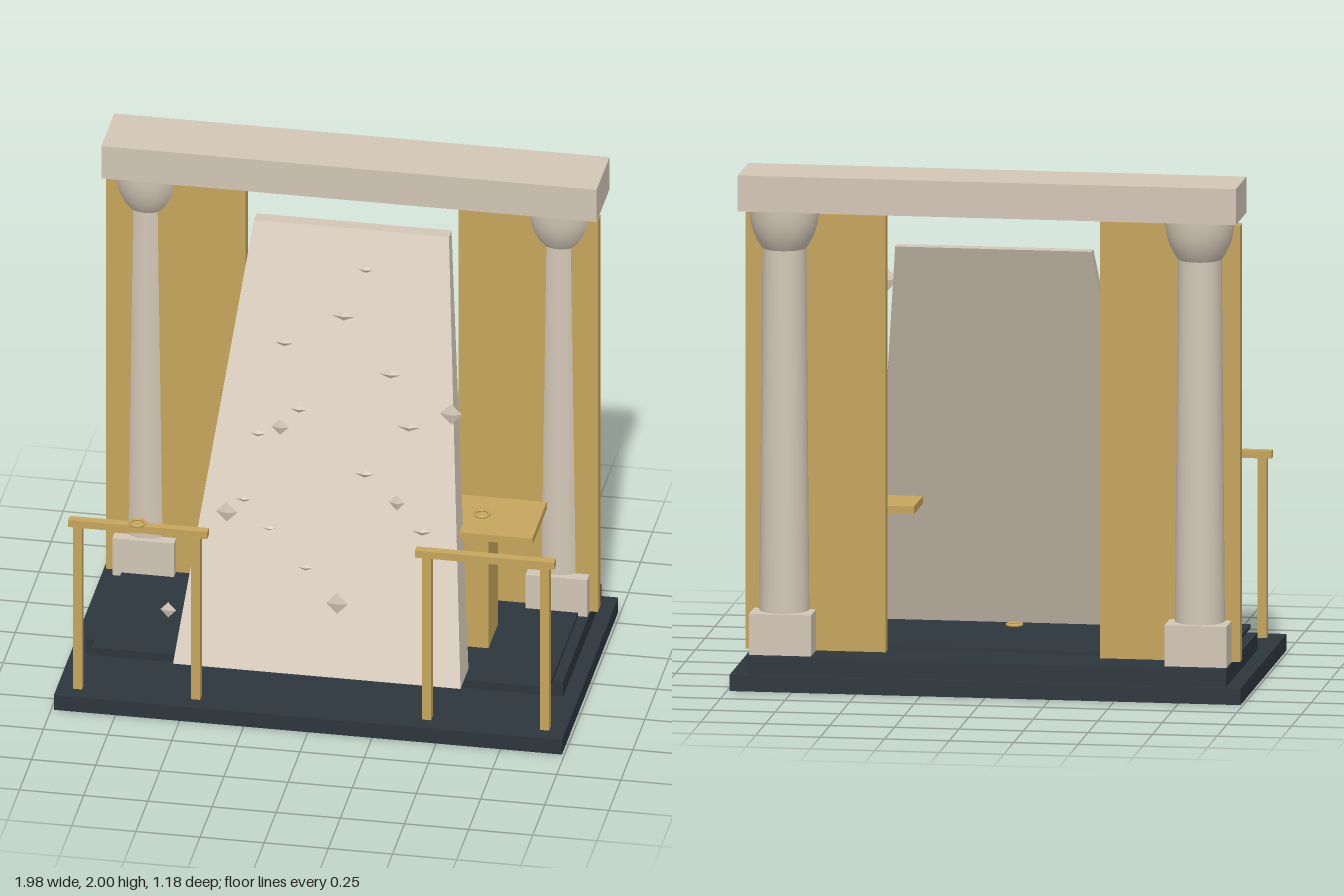
import * as THREE from 'three';

const mat = (name, color) => {
  const m = new THREE.MeshStandardMaterial({ color });
  m.name = name;
  return m;
};

export function createModel() {
  const root = new THREE.Group();
  root.name = 'templeStage';
  const stone = mat('pale stone', 0xd2c6b6);
  const gold = mat('aged gold', 0xc6a55c);
  const dark = mat('dark slate', 0x2c363d);

  const add = (name, geometry, material, x = 0, y = 0, z = 0) => {
    const mesh = new THREE.Mesh(geometry, material);
    mesh.name = name;
    mesh.position.set(x, y, z);
    root.add(mesh);
    return mesh;
  };
  // Box given by its extents on each axis
  const box = (name, material, [x0, x1], [y0, y1], [z0, z1]) =>
    add(name, new THREE.BoxGeometry(x1 - x0, y1 - y0, z1 - z0), material,
      (x0 + x1) / 2, (y0 + y1) / 2, (z0 + z1) / 2);
  // Same box on one side of the model, mirrored by s
  const sideBox = (name, material, s, [x0, x1], y, z) =>
    box(name, material, s > 0 ? [x0, x1] : [-x1, -x0], y, z);

  // Stepped floor
  box('basePlinth', dark, [-0.99, 0.99], [0, 0.063], [-0.588, 0.588]);
  box('upperStep', dark, [-0.93, 0.93], [0.063, 0.13], [-0.56, 0.24]);
  box('floorPlate', dark, [-0.89, 0.89], [0.13, 0.145], [-0.33, 0.33]);

  // Beam across the columns
  box('lintel', stone, [-0.965, 0.965], [1.86, 2], [-0.54, -0.27]);

  const capitalProfile = [[0.085, 1.7], [0.1, 1.722], [0.117, 1.757], [0.128, 1.795], [0.133, 1.83], [0.135, 1.86]]
    .map(([r, y]) => new THREE.Vector2(r, y));

  for (const s of [1, -1]) {
    // Column
    const x = 0.805 * s, z = -0.404;
    sideBox('columnBase', stone, s, [0.685, 0.925], [0.13, 0.29], [-0.518, -0.288]);
    add('columnShaft', new THREE.CylinderGeometry(0.084, 0.096, 1.41, 32, 1, true), stone, x, 0.995, z);
    add('columnCapital', new THREE.LatheGeometry(capitalProfile, 32), stone, x, 0, z);

    // Tall back panel
    sideBox('backPanel', gold, s, [0.415, 0.958], [0.13, 1.83], [-0.387, -0.335]);

    // Front railing
    sideBox('handrail', gold, s, [0.405, 0.947], [0.763, 0.793], [0.485, 0.52]);
    for (const px of [0.45, 0.91])
      sideBox('railPost', gold, s, [px - 0.018, px + 0.018], [0.063, 0.763], [0.487, 0.522]);
  }

  // Leaning slab: narrower and thinner toward the top
  const slab = new THREE.BoxGeometry(2, 1, 1).toNonIndexed();
  const p = slab.attributes.position;
  for (let i = 0; i < p.count; i++) {
    const top = p.getY(i) > 0, front = p.getZ(i) > 0;
    p.setXYZ(i, p.getX(i) * (top ? 0.38 : 0.56), top ? 1.71 : 0.145,
      top ? (front ? -0.322 : -0.376) : (front ? 0.402 : 0.235));
  }
  slab.computeVertexNormals();
  add('leaningSlab', slab, stone);

  // Side table
  box('tablePedestal', gold, [0.515, 0.605], [0.145, 0.635], [-0.143, 0.058]);
  box('tableTop', gold, [0.335, 0.785], [0.635, 0.665], [-0.195, 0.108]);

  // Small rings: x, y, z, lying flat or standing
  const ringGeometry = new THREE.TorusGeometry(0.028, 0.006, 8, 24);
  for (const [x, y, z, flat] of [
    [-0.68, 0.798, 0.502, true], [0.56, 0.67, -0.048, true],
    [0, 0.15, 0.165, true], [-0.48, 0.95, -0.33, false],
  ]) add('ring', ringGeometry, gold, x, y, z).rotation.x = flat ? Math.PI / 2 : 0;

  // Diamond shards: x, y, z, half width, half height
  const shardGeometry = new THREE.OctahedronGeometry(1);
  const shards = (name, list) => list.forEach(([x, y, z, w, h]) =>
    add(name, shardGeometry, stone, x, y, z).scale.set(w, h, 0.01));
  shards('slabChip', [
    [0.07, 1.58, -0.242, 0.03, 0.014], [0.01, 1.446, -0.103, 0.045, 0.02],
    [-0.22, 1.312, -0.096, 0.038, 0.016], [0.205, 1.246, -0.037, 0.043, 0.018],
    [-0.135, 1.111, 0.056, 0.035, 0.016], [0.283, 1.045, 0.002, 0.045, 0.019],
    [-0.3, 0.976, 0.03, 0.03, 0.013], [0.14, 0.91, 0.158, 0.036, 0.016],
    [-0.323, 0.776, 0.195, 0.03, 0.013], [0.373, 0.708, 0.208, 0.037, 0.017],
    [-0.057, 0.574, 0.33, 0.03, 0.012], [-0.23, 0.645, 0.17, 0.03, 0.012],
  ]);
  shards('floatingShard', [
    [-0.113, 1.302, 0.562, 0.034, 0.034], [0.549, 1.41, 0.538, 0.044, 0.044],
    [0.329, 0.98, 0.494, 0.031, 0.034], [-0.334, 0.876, 0.494, 0.042, 0.043],
    [0.108, 0.555, 0.56, 0.043, 0.045], [-0.554, 0.449, 0.534, 0.031, 0.033],
  ]);

  return root;
}
